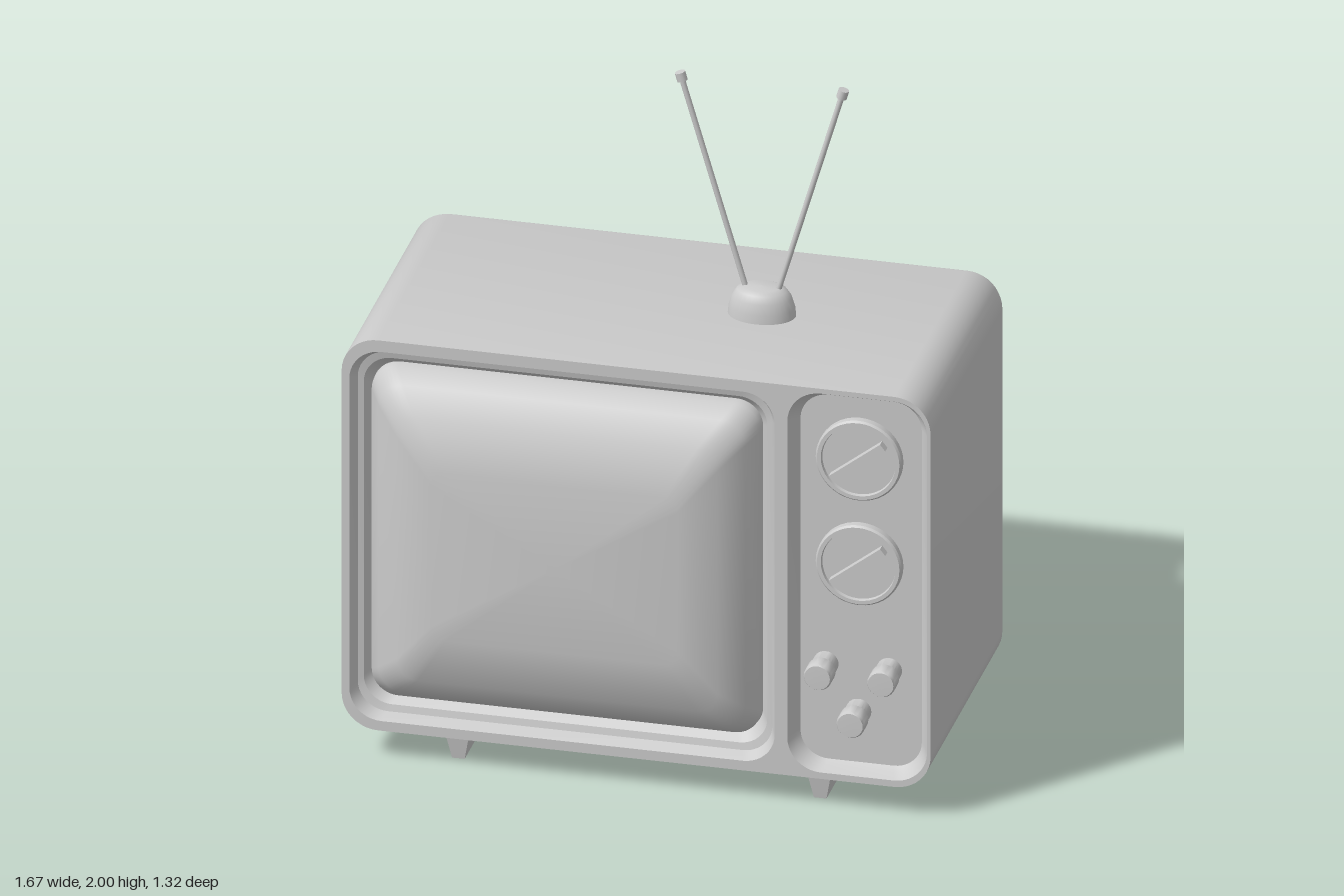
import * as THREE from 'three';
import { toCreasedNormals, mergeVertices } from 'three/addons/utils/BufferGeometryUtils.js';

const material = new THREE.MeshStandardMaterial({ color: 0xcccccc, side: THREE.DoubleSide });

// Counter-clockwise rounded rectangle outline
function outline(cx, cy, hw, hh, r, steps = 10) {
  const pts = [];
  const corners = [[1, 1], [-1, 1], [-1, -1], [1, -1]];
  corners.forEach(([sx, sy], q) => {
    for (let i = 0; i <= steps; i++) {
      const a = (q + i / steps) * Math.PI / 2;
      pts.push(new THREE.Vector2(
        cx + sx * (hw - r) + r * Math.cos(a),
        cy + sy * (hh - r) + r * Math.sin(a)));
    }
  });
  return pts;
}

// Skin over rounded rectangles [cx, cy, hw, hh, r, z]; half-width 0 closes to a point
function loft(rings, crease = 0.6) {
  const pos = [], index = [];
  const n = outline(0, 0, 1, 1, 0.1).length;
  rings.forEach(([cx, cy, hw, hh, r, z]) =>
    outline(cx, cy, hw, hh, r).forEach(p => pos.push(p.x, p.y, z)));
  for (let k = 0; k < rings.length - 1; k++) {
    for (let j = 0; j < n; j++) {
      const a = k * n + j, b = k * n + (j + 1) % n;
      if (rings[k][2] > 0) index.push(a, b, b + n);
      if (rings[k + 1][2] > 0) index.push(a, b + n, a + n);
    }
  }
  const g = new THREE.BufferGeometry();
  g.setAttribute('position', new THREE.Float32BufferAttribute(pos, 3));
  g.setIndex(index);
  return toCreasedNormals(mergeVertices(g), crease);
}

export function createModel() {
  const model = new THREE.Group();
  const add = (name, geometry, parent = model) => {
    const mesh = new THREE.Mesh(geometry, material);
    mesh.name = name;
    parent.add(mesh);
    return mesh;
  };

  // Cabinet shell, open at the front
  const cy = 0.6875;
  add('cabinet', loft([
    [0, cy, 0, 0, 0, -0.26],
    [0, cy, 0.815, 0.577, 0.085, -0.26],
    [0, cy, 0.829, 0.591, 0.097, -0.254],
    [0, cy, 0.835, 0.597, 0.103, -0.24],
    [0, cy, 0.835, 0.597, 0.103, 0.575],
  ]));

  // Front frame with openings for screen and control panel
  const screenHole = [-0.21, 0.685, 0.603, 0.565, 0.09];
  const panelHole = [0.627, 0.69, 0.198, 0.58, 0.095];
  const face = new THREE.Shape(outline(0, cy, 0.835, 0.597, 0.103));
  face.holes.push(new THREE.Path(outline(...screenHole)), new THREE.Path(outline(...panelHole)));
  add('frontFrame', new THREE.ShapeGeometry(face)).position.z = 0.575;

  // Stepped recess around the screen
  add('screenSurround', loft([
    [...screenHole, 0.575],
    [-0.21, 0.685, 0.588, 0.55, 0.085, 0.54],
    [-0.21, 0.685, 0.572, 0.53, 0.08, 0.535],
    [-0.21, 0.685, 0.55, 0.505, 0.075, 0.5],
  ], 0.4));

  // Bulging picture tube
  add('screen', loft([
    [-0.21, 0.685, 0.553, 0.505, 0.075, 0.5],
    [-0.21, 0.685, 0.551, 0.503, 0.075, 0.53],
    [-0.21, 0.685, 0.52, 0.47, 0.07, 0.575],
    [-0.21, 0.685, 0.455, 0.4, 0.06, 0.633],
    [-0.21, 0.685, 0.35, 0.255, 0.04, 0.66],
    [-0.21, 0.685, 0, 0, 0, 0.662],
  ], 0.75));

  // Recessed control panel
  add('controlPanel', loft([
    [...panelHole, 0.575],
    [0.627, 0.69, 0.184, 0.567, 0.088, 0.545],
    [0.627, 0.69, 0.172, 0.557, 0.08, 0.53],
    [0.627, 0.69, 0, 0, 0, 0.53],
  ]));

  // Rear tube housing with sloping top
  add('rearHousing', loft([
    [0.015, 0.655, 0, 0, 0, -0.66],
    [0.015, 0.655, 0.53, 0.378, 0.085, -0.66],
    [0.015, 0.655, 0.544, 0.392, 0.097, -0.654],
    [0.015, 0.655, 0.55, 0.398, 0.103, -0.64],
    [0.015, 0.687, 0.55, 0.443, 0.103, -0.255],
  ]));

  // Tuning dials: raised rim, sunken disc and slanted grip
  for (const y of [1.065, 0.745]) {
    const dial = new THREE.Group();
    dial.name = 'tuningDial';
    dial.position.set(0.625, y, 0.53);
    model.add(dial);
    const profile = [[0.122, 0], [0.122, 0.02], [0.117, 0.026], [0.106, 0.026], [0.104, 0.016], [0, 0.016]]
      .map(p => new THREE.Vector2(...p));
    add('dialDisc', toCreasedNormals(new THREE.LatheGeometry(profile, 40), 0.5), dial)
      .rotation.x = Math.PI / 2;
    const grip = add('dialGrip', new THREE.BoxGeometry(0.185, 0.024, 0.03), dial);
    grip.position.z = 0.026;
    grip.rotation.z = 0.66;
  }

  // Small push knobs
  const knobProfile = [[0.036, 0], [0.036, 0.045], [0.04, 0.05], [0.04, 0.092], [0.036, 0.099], [0, 0.1]]
    .map(p => new THREE.Vector2(...p));
  const knobGeometry = toCreasedNormals(new THREE.LatheGeometry(knobProfile, 24), 0.7);
  for (const [x, y] of [[0.527, 0.425], [0.707, 0.425], [0.62, 0.29]]) {
    const knob = add('knob', knobGeometry, model);
    knob.position.set(x, y, 0.53);
    knob.rotation.x = Math.PI / 2;
  }

  // Tapered runner feet
  const foot = new THREE.BoxGeometry(0.076, 0.1, 0.745);
  const fp = foot.attributes.position;
  for (let i = 0; i < fp.count; i++) {
    if (fp.getY(i) < 0) {
      fp.setX(i, fp.getX(i) * 0.47);
      fp.setZ(i, fp.getZ(i) * 0.95);
    }
  }
  foot.computeVertexNormals();
  for (const x of [-0.52, 0.506]) add('foot', foot).position.set(x, 0.05, 0.157);

  // Antenna: oval base with two splayed rods
  const antenna = new THREE.Group();
  antenna.name = 'antenna';
  antenna.position.set(0.252, 1.28, 0.155);
  model.add(antenna);
  const baseProfile = [[0.096, 0], [0.093, 0.03], [0.084, 0.06], [0.07, 0.08], [0.05, 0.089], [0, 0.091]]
    .map(p => new THREE.Vector2(...p));
  add('antennaBase', new THREE.LatheGeometry(baseProfile, 32), antenna).scale.z = 0.75;
  for (const side of [-1, 1]) {
    const from = new THREE.Vector3(side * 0.04, 0.06, 0);
    const to = new THREE.Vector3(side * 0.229, 0.704, 0);
    const dir = to.clone().sub(from);
    const rod = add('antennaRod', new THREE.CylinderGeometry(0.008, 0.008, dir.length(), 12), antenna);
    rod.position.copy(from).add(to).multiplyScalar(0.5);
    rod.rotation.z = -Math.atan2(dir.x, dir.y);
    const tip = add('antennaTip', new THREE.CylinderGeometry(0.015, 0.015, 0.026, 12), antenna);
    tip.position.copy(to);
    tip.rotation.z = rod.rotation.z;
  }

  return model;
}
